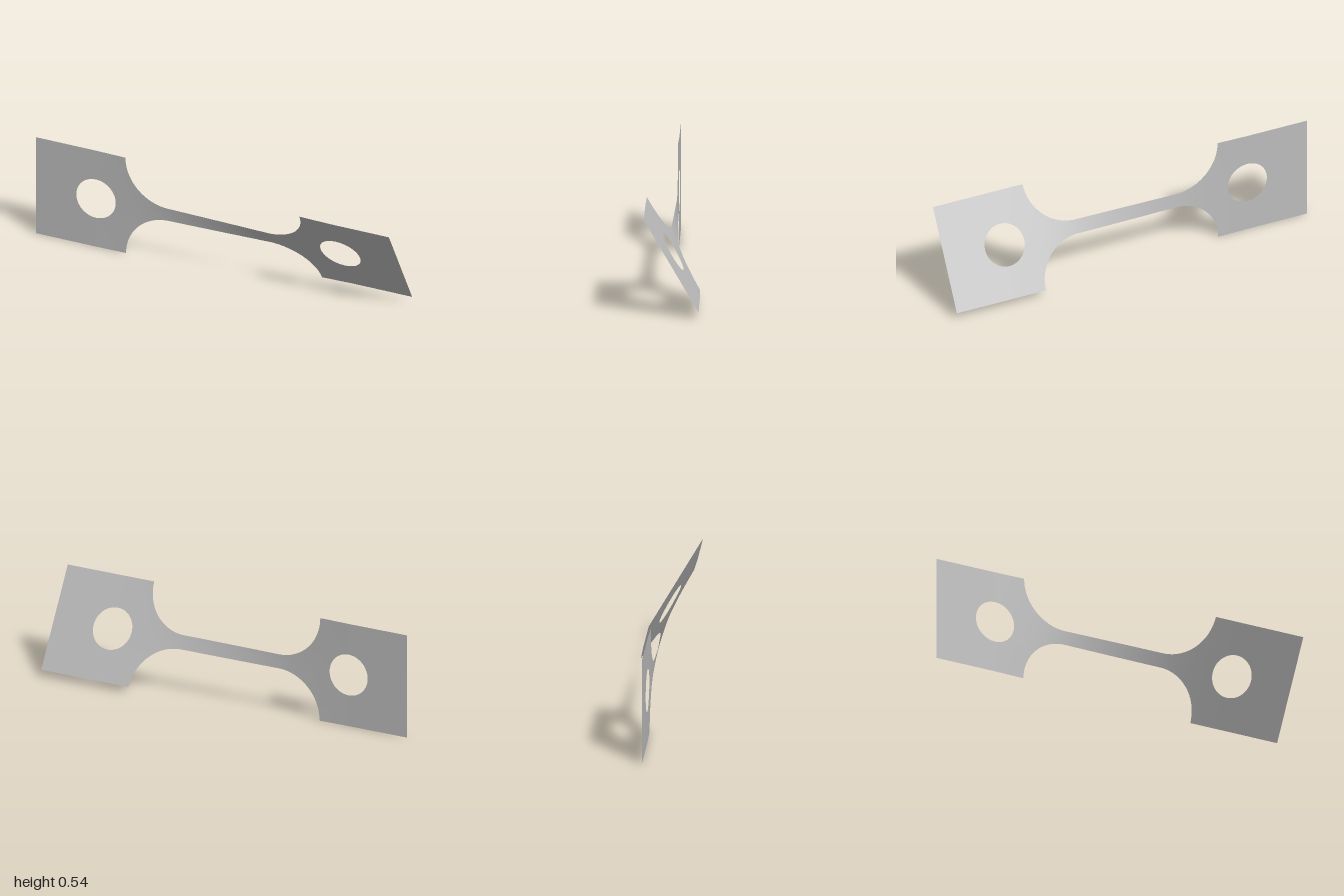
import * as THREE from 'three';
import { mergeVertices } from 'three/addons/utils/BufferGeometryUtils.js';

const HALF_H = 0.271;   // half height of the end plates
const NECK = 0.036;     // half height of the neck
const FILLET = HALF_H - NECK;
const FILLET_X = 0.272; // where the fillets meet the neck
const HOLE_X = 0.67;
const HOLE_R = 0.108;
const TWIST = Math.PI / 6;

// Outline half height at x
function outer(x) {
  const d = Math.abs(x) - FILLET_X;
  if (d <= 0) return NECK;
  if (d >= FILLET) return HALF_H;
  return HALF_H - Math.sqrt(FILLET * FILLET - d * d);
}

// Half height of the hole at x
function inner(x) {
  const d = Math.abs(x) - HOLE_X;
  return Math.sqrt(Math.max(0, HOLE_R * HOLE_R - d * d));
}

// Twist builds up fastest where the strip is narrow, up to the hole centres
function twistIntegral(x) {
  const end = Math.min(Math.abs(x), HOLE_X), n = 200;
  let sum = 0;
  for (let i = 0; i < n; i++) sum += end / n / outer((i + 0.5) * end / n);
  return Math.sign(x) * sum;
}
const fullTwist = twistIntegral(1);
const angleAt = (x) => TWIST * 0.5 * (1 + twistIntegral(x) / fullTwist);

// Column positions, finer around the fillet and hole curves
function columns() {
  const xs = [];
  for (let i = 0; i <= 12; i++) xs.push(FILLET_X * i / 12);
  for (let i = 1; i <= 32; i++) xs.push(FILLET_X + FILLET * Math.sin(i / 32 * Math.PI / 2));
  for (let i = 0; i <= 36; i++) xs.push(HOLE_X - HOLE_R * Math.cos(i / 36 * Math.PI));
  for (let i = 1; i <= 6; i++) xs.push(THREE.MathUtils.lerp(HOLE_X + HOLE_R, 1, i / 6));
  return [...xs.slice(1).reverse().map((x) => -x), ...xs];
}

// Upper and lower strips joined along the centre line
function sheetGeometry() {
  const xs = columns(), pos = [], index = [], rows = 4;
  for (const side of [1, -1]) {
    const base = pos.length / 3;
    xs.forEach((x, i) => {
      const a = angleAt(x);
      for (let j = 0; j <= rows; j++) {
        const v = side * THREE.MathUtils.lerp(inner(x), outer(x), j / rows);
        pos.push(x, HALF_H + v * Math.cos(a), v * Math.sin(a));
      }
      if (i === 0) return;
      for (let j = 0; j < rows; j++) {
        const q = base + i * (rows + 1) + j, p = q - rows - 1;
        if (side > 0) index.push(p, q, q + 1, p, q + 1, p + 1);
        else index.push(p, q + 1, q, p, p + 1, q + 1);
      }
    });
  }
  const g = new THREE.BufferGeometry();
  g.setAttribute('position', new THREE.Float32BufferAttribute(pos, 3));
  g.setIndex(index);
  const merged = mergeVertices(g, 1e-5);
  merged.computeVertexNormals();
  return merged;
}

export function createModel() {
  const group = new THREE.Group();
  group.name = 'twistedSpecimen';
  const metal = new THREE.MeshStandardMaterial({ color: 0xbcbcbc, side: THREE.DoubleSide });
  metal.name = 'light grey';
  const sheet = new THREE.Mesh(sheetGeometry(), metal);
  sheet.name = 'twistedSheet';
  group.add(sheet);
  return group;
}
